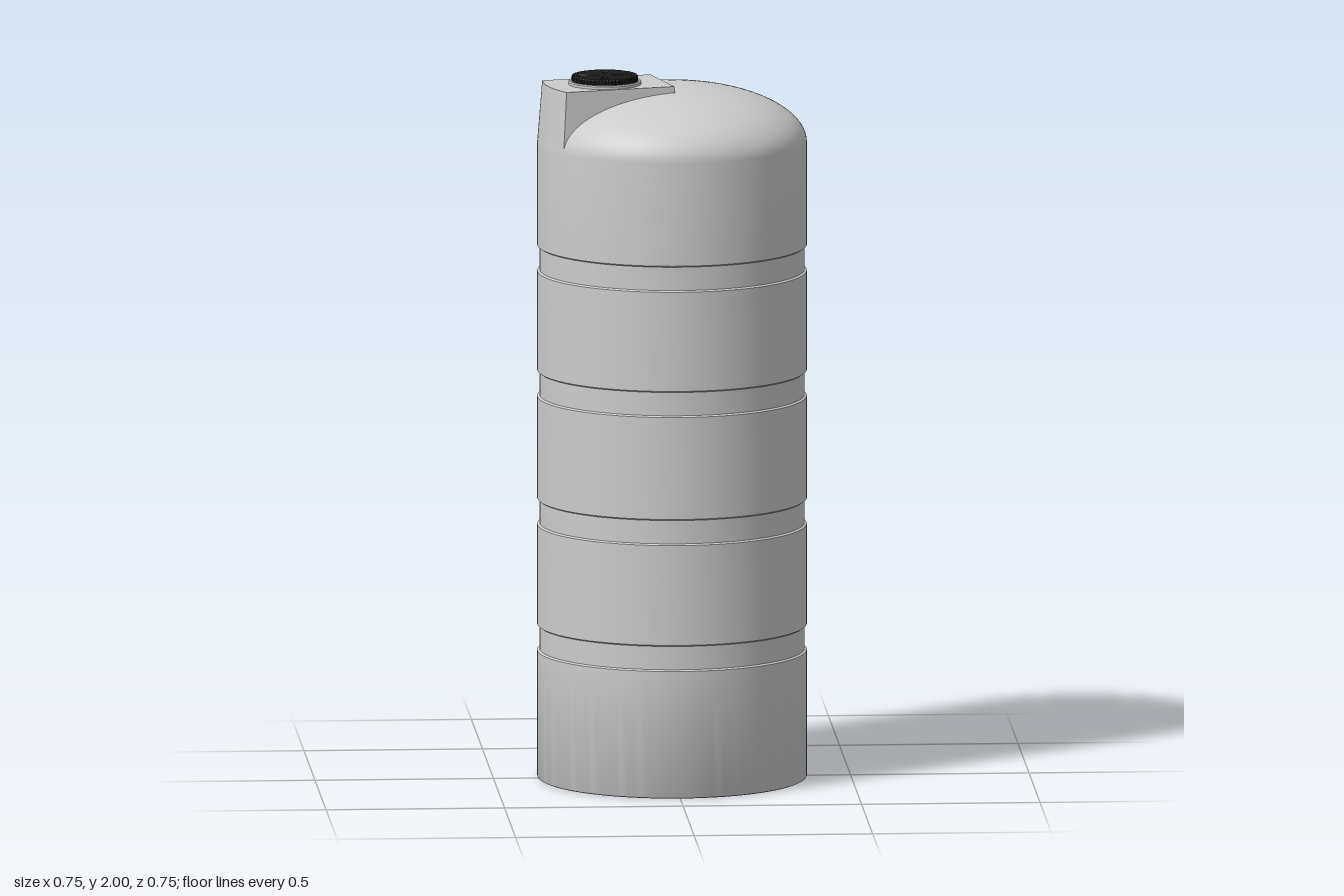
import * as THREE from 'three';
import { toCreasedNormals } from 'three/addons/utils/BufferGeometryUtils.js';

const R = 0.377;          // tank radius
const SHOULDER = 1.8;     // height where the dome starts
const DECK = 1.975;       // height of the hatch platform

const grey = new THREE.MeshStandardMaterial({ color: 0xcccccc });
const black = new THREE.MeshStandardMaterial({ color: 0x1a1a1a });
const stripGrey = new THREE.MeshStandardMaterial({ color: 0xa0a0a0, side: THREE.DoubleSide });

function add(parent, name, geometry, material) {
  const mesh = new THREE.Mesh(geometry, material);
  mesh.name = name;
  parent.add(mesh);
  return mesh;
}

function lathe(points, segments) {
  const geometry = new THREE.LatheGeometry(points.map(([x, y]) => new THREE.Vector2(x, y)), segments);
  return toCreasedNormals(geometry, 0.6);
}

// Closed tank: flat base, four shallow bands, elliptical dome
function tankGeometry() {
  const profile = [[0, 0], [R - 0.006, 0], [R - 0.002, 0.002], [R, 0.006]];
  for (const y of [0.365, 0.722, 1.085, 1.44]) {
    profile.push([R, y - 0.004], [R - 0.006, y], [R - 0.006, y + 0.066], [R, y + 0.07]);
  }
  for (let i = 0; i <= 24; i++) {
    const a = (i / 24) * Math.PI / 2;
    profile.push([i === 24 ? 0 : R * Math.cos(a), SHOULDER + 0.165 * Math.sin(a)]);
  }
  return lathe(profile, 128);
}

// Platform with drafted sides, its outer wall bent to the tank's curve
function platformGeometry() {
  const w = 0.108, topR = 0.363, height = DECK - SHOULDER;
  const shape = new THREE.Shape();
  shape.moveTo(0.028, w);
  shape.lineTo(0.028, -w);
  for (let i = 0; i <= 16; i++) {
    const v = -w + (2 * w * i) / 16;
    shape.lineTo(Math.sqrt(topR * topR - v * v), v);
  }
  shape.closePath();
  const geometry = new THREE.ExtrudeGeometry(shape, { depth: height, bevelEnabled: false });
  const p = geometry.attributes.position;
  for (let i = 0; i < p.count; i++) {
    if (p.getZ(i) > height / 2) continue;
    const v = p.getY(i) * 1.08;
    p.setY(i, v);
    if (p.getX(i) > 0.2) p.setX(i, Math.sqrt(R * R - v * v));
  }
  geometry.rotateX(-Math.PI / 2).translate(0, SHOULDER, 0);
  return toCreasedNormals(geometry, 0.5);
}

// Screw lid with a knurled rim and four tapered grip recesses
function lidGeometry() {
  const shape = new THREE.Shape();
  const teeth = 60;
  for (let i = 0; i < teeth * 2; i++) {
    const a = (i / (teeth * 2)) * Math.PI * 2, r = i % 2 ? 0.0885 : 0.0905;
    shape[i ? 'lineTo' : 'moveTo'](r * Math.cos(a), r * Math.sin(a));
  }
  shape.closePath();
  for (let k = 0; k < 4; k++) {
    const a = (k * Math.PI) / 2, c = Math.cos(a), s = Math.sin(a);
    const corners = [[0.018, -0.003], [0.018, 0.003], [0.076, 0.013], [0.076, -0.013]];
    shape.holes.push(new THREE.Path(corners.map(([x, y]) => new THREE.Vector2(x * c - y * s, x * s + y * c))));
  }
  const geometry = new THREE.ExtrudeGeometry(shape, {
    depth: 0.012, bevelThickness: 0.003, bevelSize: 0.002, bevelSegments: 1,
  });
  return geometry.rotateX(-Math.PI / 2).translate(0, 1.985, 0);
}

// Narrow level strip following the wall, with rounded ends
function stripGeometry() {
  const half = 0.017, low = 0.22, high = 1.79, r = R + 0.001;
  const shape = new THREE.Shape();
  shape.absarc(0, high - half, half, 0, Math.PI);
  shape.absarc(0, low + half, half, Math.PI, Math.PI * 2);
  const geometry = new THREE.ShapeGeometry(shape, 8);
  const p = geometry.attributes.position, n = geometry.attributes.normal;
  for (let i = 0; i < p.count; i++) {
    const a = p.getX(i) / r;
    p.setXYZ(i, r * Math.sin(a), p.getY(i), r * Math.cos(a));
    n.setXYZ(i, Math.sin(a), 0, Math.cos(a));
  }
  return geometry;
}

export function createModel() {
  const model = new THREE.Group();
  model.name = 'waterTank';
  add(model, 'tankBody', tankGeometry(), grey);

  const strip = add(model, 'levelStrip', stripGeometry(), stripGrey);
  strip.rotation.y = Math.atan2(-0.773, -0.634);

  // Hatch, turned slightly toward the front
  const hatch = new THREE.Group();
  hatch.name = 'hatch';
  hatch.rotation.y = Math.PI + 0.26;
  model.add(hatch);
  add(hatch, 'hatchPlatform', platformGeometry(), grey);

  const collar = lathe([[0.102, DECK - 0.01], [0.102, 1.982], [0.099, 1.985], [0.094, 1.985], [0.094, DECK]], 64);
  add(hatch, 'hatchCollar', collar, grey).position.x = 0.198;

  const lid = new THREE.Group();
  lid.name = 'lid';
  lid.position.x = 0.198;
  lid.rotation.y = -0.33;
  hatch.add(lid);
  add(lid, 'lidCap', lidGeometry(), black);
  const floor = new THREE.CylinderGeometry(0.088, 0.088, 0.02, 48);
  add(lid, 'lidRecessFloor', floor, black).position.y = 1.986;
  return model;
}
